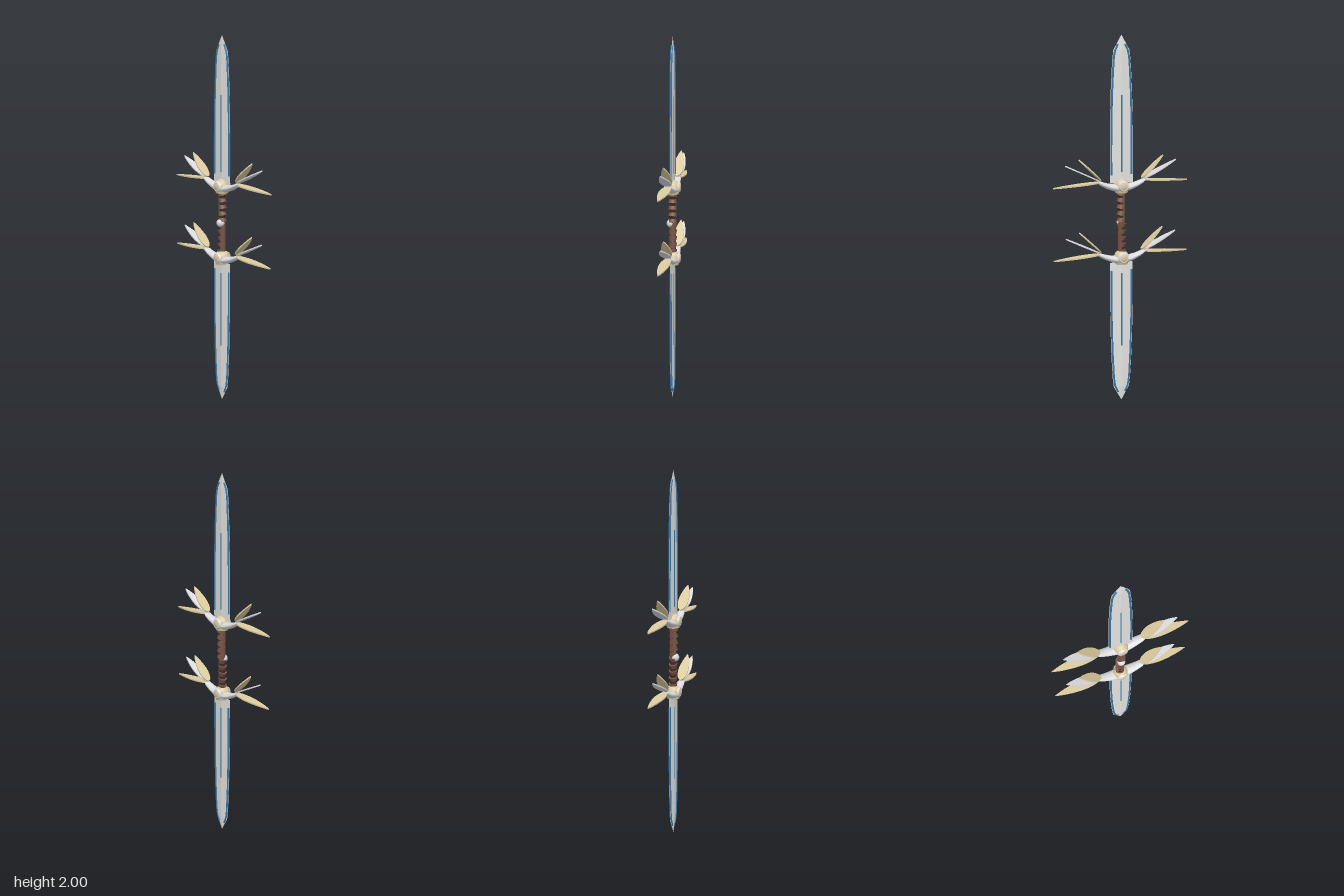
import * as THREE from 'three';

const mat = (name, color) => {
  const m = new THREE.MeshStandardMaterial({ color });
  m.name = name;
  return m;
};

export function createModel() {
  const steel = mat('blade steel', 0xe3e3e2);
  const silver = mat('silver', 0xdcdcdf);
  const gold = mat('pale gold', 0xdccb9f);
  const blue = mat('blue inlay', 0x3a7aa8);
  const brown = mat('leather', 0x795346);
  const dark = mat('dark leather', 0x3d2a22);

  const add = (parent, name, geo, material, x = 0, y = 0, z = 0) => {
    const m = new THREE.Mesh(geo, material);
    m.name = name;
    m.position.set(x, y, z);
    parent.add(m);
    return m;
  };

  // Blade outline: [height above base, half width]
  const outline = [[0, 0.066], [0.2, 0.066], [0.36, 0.064], [0.5, 0.06],
    [0.6, 0.055], [0.66, 0.051], [0.705, 0.045], [0.782, 0.0005]];

  // Diamond-section loft with closed base and hard edges
  const pos = [];
  const quad = (a, b, c, d) => [a, b, c, a, c, d].forEach((v) => pos.push(...v));
  const rings = outline.map(([y, w]) => {
    const t = 0.0065 * Math.min(1, w / 0.04);
    return [[-w, y, 0], [0, y, t], [w, y, 0], [0, y, -t]];
  });
  for (let i = 0; i < rings.length - 1; i++) {
    for (let k = 0; k < 4; k++) {
      const n = (k + 1) % 4;
      quad(rings[i][k], rings[i][n], rings[i + 1][n], rings[i + 1][k]);
    }
  }
  quad(rings[0][3], rings[0][2], rings[0][1], rings[0][0]);
  const bladeGeo = new THREE.BufferGeometry();
  bladeGeo.setAttribute('position', new THREE.Float32BufferAttribute(pos, 3));
  bladeGeo.computeVertexNormals();

  // Rounded inlay rod that follows the blade edge
  const edgePath = new THREE.CatmullRomCurve3([[0.058, 0.045], [0.058, 0.2], [0.056, 0.36], [0.052, 0.5],
    [0.047, 0.6], [0.043, 0.66], [0.036, 0.7], [0.02, 0.735]].map(([x, y]) => new THREE.Vector3(x, y, 0)));
  const edgeGeo = new THREE.TubeGeometry(edgePath, 40, 0.0055, 10).scale(1, 1, 1.2);
  const centreGeo = new THREE.CylinderGeometry(0.0055, 0.0055, 0.41, 12).scale(1, 1, 1.5);

  const makeBlade = () => {
    const g = new THREE.Group();
    g.name = 'blade';
    add(g, 'bladeBody', bladeGeo, steel);
    add(g, 'edgeInlayLeft', edgeGeo, blue);
    add(g, 'edgeInlayRight', edgeGeo, blue).rotation.y = Math.PI;
    add(g, 'centreInlay', centreGeo, blue, 0, 0.265, 0);
    return g;
  };

  // Guard arm: a tapering tube that sweeps outward and up
  const armGeo = new THREE.CylinderGeometry(1, 1, 1, 20, 10);
  const p = armGeo.attributes.position;
  for (let i = 0; i < p.count; i++) {
    const u = p.getY(i) + 0.5;
    const end = u > 0.95 ? 0.75 : 1;
    const ry = (0.023 - 0.012 * u) * end, rz = (0.034 - 0.015 * u) * end;
    p.setXYZ(i, 0.135 * u, -0.012 + 0.039 * u * u - p.getX(i) * ry, p.getZ(i) * rz);
  }
  armGeo.computeVertexNormals();

  // Leaf-shaped feather lying along +x with its width along z
  const featherGeo = (len) => {
    const w = 0.028;
    const s = new THREE.Shape();
    s.moveTo(0, 0);
    s.bezierCurveTo(0.004, w * 0.8, len * 0.3, w * 1.2, len * 0.55, w * 0.9);
    s.quadraticCurveTo(len * 0.82, w * 0.6, len, 0);
    s.quadraticCurveTo(len * 0.82, -w * 0.6, len * 0.55, -w * 0.9);
    s.bezierCurveTo(len * 0.3, -w * 1.2, 0.004, -w * 0.8, 0, 0);
    const g = new THREE.ExtrudeGeometry(s, { depth: 0.007, bevelEnabled: false, curveSegments: 10 });
    return g.translate(0, 0, -0.0035).rotateX(Math.PI / 2);
  };
  // Feathers: [base x, base y, tip x, tip y, material]
  const feathers = [[0.115, 0.034, 0.24, 0.152, gold], [0.12, 0.03, 0.316, 0.124, silver],
    [0.115, 0.026, 0.385, 0.009, gold]];

  const makeGuard = () => {
    const g = new THREE.Group();
    g.name = 'guard';
    add(g, 'hub', new THREE.SphereGeometry(0.04, 28, 20), gold);
    add(g, 'hubCollar', new THREE.CylinderGeometry(0.037, 0.033, 0.014, 24), gold, 0, -0.03, 0);
    for (const side of [1, -1]) {
      // Round medallion on the front and back of the hub
      const disc = add(g, 'medallion', new THREE.CylinderGeometry(0.024, 0.03, 0.01, 28), silver, 0, 0, side * 0.036);
      disc.rotation.x = side * Math.PI / 2;
      add(g, 'medallionBoss', new THREE.SphereGeometry(0.02, 20, 12), gold, 0, 0, side * 0.039).scale.z = 0.3;

      const wing = new THREE.Group();
      wing.name = side > 0 ? 'leftWing' : 'rightWing';
      wing.rotation.y = side > 0 ? 0 : Math.PI;
      add(wing, 'guardArm', armGeo, silver);
      for (const [x0, y0, x1, y1, m] of feathers) {
        const f = add(wing, 'feather', featherGeo(Math.hypot(x1 - x0, y1 - y0)), m, x0, y0, 0);
        f.rotation.z = Math.atan2(y1 - y0, x1 - x0);
      }
      g.add(wing);
    }
    return g;
  };

  const model = new THREE.Group();
  model.name = 'doubleBladedSword';

  const upper = makeBlade();
  upper.position.y = 1.218;
  const lower = makeBlade();
  lower.position.y = 0.785;
  lower.rotation.z = Math.PI;
  model.add(upper, lower);

  for (const y of [1.203, 0.812]) {
    const guard = makeGuard();
    guard.position.y = y;
    model.add(guard);
  }

  // Grip: dark core with slanted overlapping leather wraps, mirrored at the middle
  add(model, 'gripCore', new THREE.CylinderGeometry(0.0175, 0.0175, 0.36, 20), dark, 0, 1.005, 0);
  const wrapGeo = new THREE.CylinderGeometry(0.016, 0.0235, 0.034, 20);
  for (const side of [1, -1]) {
    const half = new THREE.Group();
    half.name = side > 0 ? 'upperGrip' : 'lowerGrip';
    half.position.y = 1.005;
    half.rotation.z = side > 0 ? 0 : Math.PI;
    for (let i = 0; i < 5; i++) {
      add(half, 'leatherWrap', wrapGeo, brown, 0, 0.018 + i * 0.036, 0).rotation.z = 0.3;
    }
    model.add(half);
  }
  // Round stud on the front of the grip
  add(model, 'gripStud', new THREE.SphereGeometry(0.022, 20, 16), silver, 0, 1.003, 0.011);

  return model;
}
